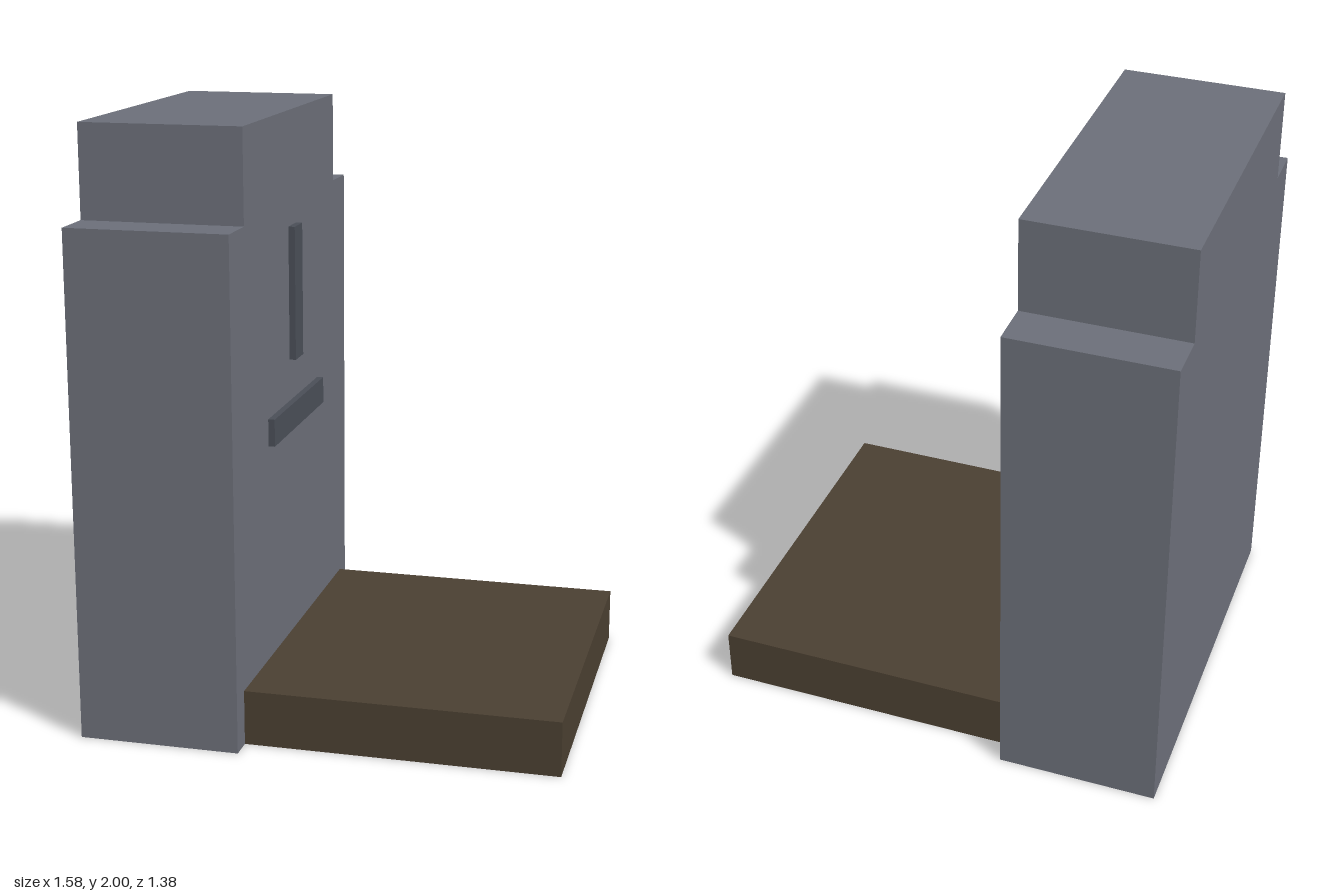
import * as THREE from 'three';

// Extrudes a half outline, mirrored across z, from x0 to x1 and leaves its underside open.
function hollowPrism(half, x0, x1) {
  const mirrored = half.map(([z, y]) => [-z, y]).reverse();
  const outline = [...half, ...mirrored].map(([z, y]) => new THREE.Vector2(z, y));
  const solid = new THREE.ExtrudeGeometry(new THREE.Shape(outline), { depth: x1 - x0, bevelEnabled: false });
  solid.rotateY(Math.PI / 2).translate(x0, 0, 0);

  // Keep every triangle that does not face down
  const pos = solid.attributes.position;
  const normal = solid.attributes.normal;
  const kept = [];
  for (let i = 0; i < pos.count; i += 3) {
    if (normal.getY(i) < -0.5) continue;
    for (let k = i; k < i + 3; k++) kept.push(pos.getX(k), pos.getY(k), pos.getZ(k));
  }
  const shell = new THREE.BufferGeometry();
  shell.setAttribute('position', new THREE.Float32BufferAttribute(kept, 3));
  shell.computeVertexNormals();
  return shell;
}

const rect = (halfWidth, y0, y1) => [[halfWidth, y0], [halfWidth, y1]];

export function createModel() {
  const material = (name, color) =>
    new THREE.MeshStandardMaterial({ name, color, side: THREE.DoubleSide });
  const stone = material('stone', 0x6b6e78);
  const darkStone = material('dark stone', 0x4a4e57);
  const earth = material('earth', 0x4a3f31);

  const model = new THREE.Group();
  model.name = 'gravestone';
  const add = (name, half, x0, x1, mat) => {
    const mesh = new THREE.Mesh(hollowPrism(half, x0, x1), mat);
    mesh.name = name;
    model.add(mesh);
  };

  // Upright stone with stepped shoulders
  add('headstone', [[0.692, 0], [0.692, 1.692], [0.538, 1.692], [0.538, 2]], -0.79, -0.252, stone);

  // Low bed of earth, its end tucked into the stone
  add('earthBed', rect(0.615, 0, 0.185), -0.283, 0.787, earth);

  // Raised bars on the face of the stone
  add('uprightBar', rect(0.046, 1.16, 1.615), -0.268, -0.23, darkStone);
  add('crossBar', rect(0.306, 0.925, 1.017), -0.268, -0.23, darkStone);

  return model;
}
